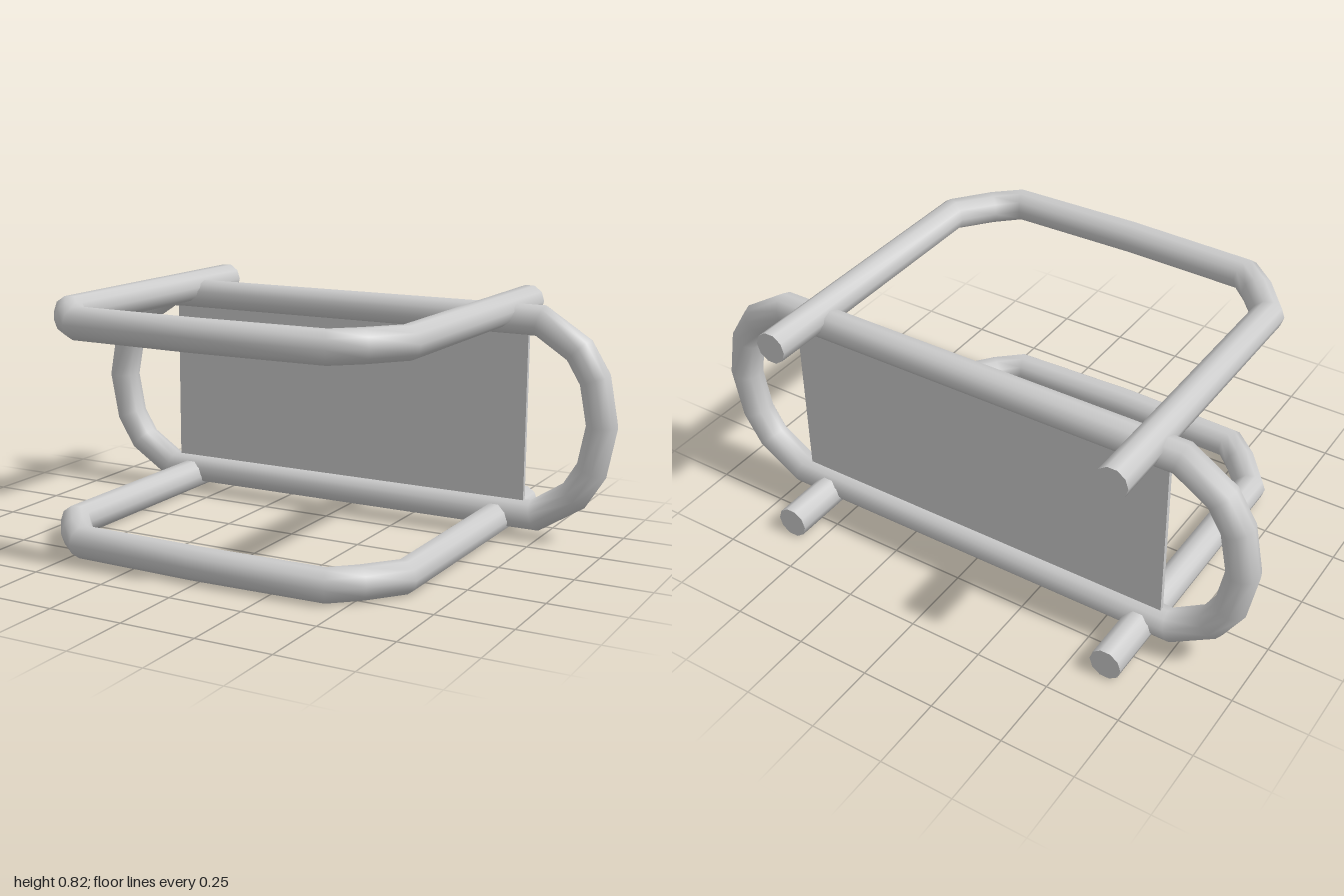
import * as THREE from 'three';

const SIDES = 10;
const RADIUS = 0.054;

// Round bar swept along a flat path; one ring per path point, smooth round the bar.
function barGeometry(path, planeNormal, closed) {
  const n = path.length;
  const positions = [];
  const index = [];
  const at = (i) => path[closed ? (i + n) % n : Math.min(Math.max(i, 0), n - 1)];
  const unit = (a, b) => b.clone().sub(a).normalize();
  const rings = path.map((p, i) => {
    const tangent = unit(at(i - 1), p).add(unit(p, at(i + 1))).normalize();
    const side = tangent.cross(planeNormal);
    return Array.from({ length: SIDES }, (_, j) => {
      const a = (j / SIDES) * Math.PI * 2;
      return p.clone()
        .addScaledVector(side, RADIUS * Math.cos(a))
        .addScaledVector(planeNormal, RADIUS * Math.sin(a));
    });
  });
  rings.flat().forEach((v) => positions.push(v.x, v.y, v.z));
  for (let i = 0; i < (closed ? n : n - 1); i++) {
    for (let j = 0; j < SIDES; j++) {
      const k = (j + 1) % SIDES;
      const r = i * SIDES;
      const s = ((i + 1) % n) * SIDES;
      index.push(r + j, s + j, r + k, r + k, s + j, s + k);
    }
  }
  // Flat end caps with their own vertices
  if (!closed) {
    [rings[0], rings[n - 1].slice().reverse()].forEach((ring) => {
      const base = positions.length / 3;
      ring.forEach((v) => positions.push(v.x, v.y, v.z));
      for (let j = 1; j < SIDES - 1; j++) index.push(base, base + j, base + j + 1);
    });
  }
  const geometry = new THREE.BufferGeometry();
  geometry.setAttribute('position', new THREE.Float32BufferAttribute(positions, 3));
  geometry.setIndex(index);
  geometry.computeVertexNormals();
  return geometry;
}

export function createModel() {
  const group = new THREE.Group();
  const material = new THREE.MeshStandardMaterial({ color: 0xcccccc });
  const add = (name, geometry, x = 0, y = 0, z = 0) => {
    const mesh = new THREE.Mesh(geometry, material);
    mesh.name = name;
    mesh.position.set(x, y, z);
    group.add(mesh);
  };

  // U-shaped bars, upper and lower: half outline from the back end to the front middle
  const half = [[0.61, -0.62], [0.61, 0.37], [0.52, 0.483], [0.442, 0.555]];
  const uPath = [
    ...half.map(([x, z]) => new THREE.Vector3(x, 0, z)),
    new THREE.Vector3(0, 0, 0.566),
    ...half.slice().reverse().map(([x, z]) => new THREE.Vector3(-x, 0, z)),
  ];
  const uBar = barGeometry(uPath, new THREE.Vector3(0, 1, 0), false);
  add('upperBar', uBar, -0.017, 0.765, 0);
  add('lowerBar', uBar, -0.017, 0.052, 0);

  // Closed upright loop, mirrored from a quarter outline
  const quarter = [[0.725, 0.332], [0.86, 0.245], [0.917, 0.152]];
  const right = [
    ...quarter,
    [0.946, 0],
    ...quarter.slice().reverse().map(([x, y]) => [x, -y]),
  ];
  const loop = [...right, ...right.map(([x, y]) => [-x, -y])];
  const loopPath = loop.map(([x, y]) => new THREE.Vector3(x, y, 0));
  add('uprightLoop', barGeometry(loopPath, new THREE.Vector3(0, 0, 1), true), 0, 0.404, -0.382);

  // Thin panel filling the middle of the loop
  add('panel', new THREE.BoxGeometry(1.375, 0.64, 0.016), -0.002, 0.404, -0.382);

  return group;
}
